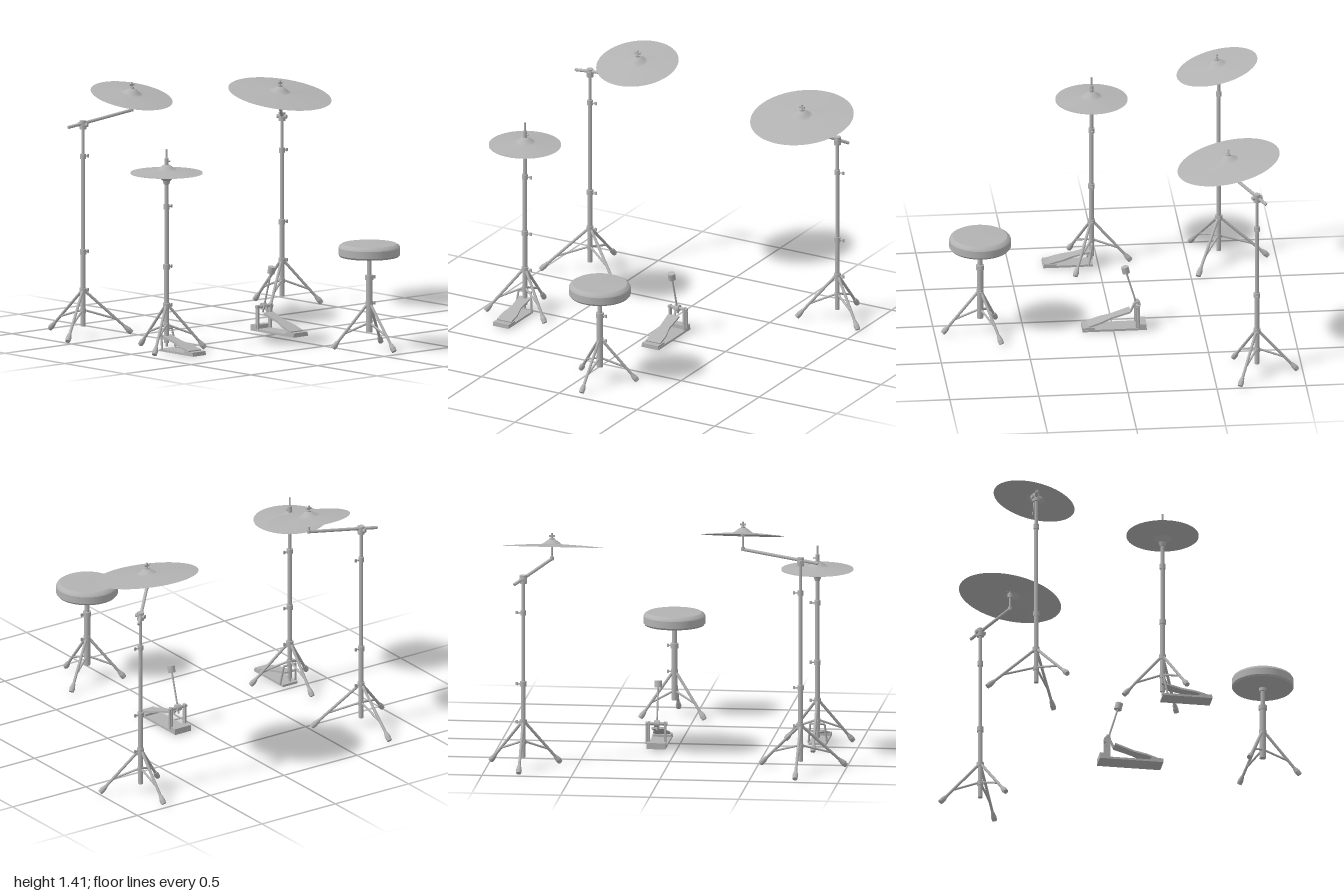
import * as THREE from 'three';

const metal = new THREE.MeshStandardMaterial({ color: 0xb2b2b2 });
metal.name = 'light grey';
const metalThin = metal.clone();
metalThin.side = THREE.DoubleSide;
const V = (x, y, z) => new THREE.Vector3(x, y, z);

function add(parent, name, geometry, x = 0, y = 0, z = 0, material = metal) {
  const m = new THREE.Mesh(geometry, material);
  m.name = name;
  m.position.set(x, y, z);
  parent.add(m);
  return m;
}

// Round bar between two points
function rod(parent, name, a, b, ra, rb = ra, sides = 14) {
  const d = b.clone().sub(a);
  const m = add(parent, name, new THREE.CylinderGeometry(rb, ra, d.length(), sides));
  m.position.copy(a).addScaledVector(d, 0.5);
  m.quaternion.setFromUnitVectors(V(0, 1, 0), d.normalize());
  return m;
}

function lathe(parent, name, points, x = 0, y = 0, z = 0, sides = 48) {
  const g = new THREE.LatheGeometry(points.map(p => new THREE.Vector2(p[0], p[1])), sides);
  return add(parent, name, g, x, y, z, metalThin);
}

// Clamp on a pole with a wing screw to the side
function collar(parent, y, r) {
  rod(parent, 'collar', V(0, y - 0.014, 0), V(0, y + 0.014, 0), r);
  rod(parent, 'screw', V(0, y, 0), V(0.034, y, 0), 0.004);
  add(parent, 'wing', new THREE.BoxGeometry(0.012, 0.018, 0.007), 0.037, y, 0);
}

// Three braced legs with rubber feet; angles measured from +z towards +x
function tripod(parent, radius, start) {
  for (let i = 0; i < 3; i++) {
    const a = start + i * Math.PI * 2 / 3;
    const at = (r, y) => V(Math.sin(a) * r, y, Math.cos(a) * r);
    const top = at(0.015, 0.255), foot = at(radius, 0.02);
    const along = t => top.clone().lerp(foot, t);
    rod(parent, 'leg', top, foot, 0.008);
    rod(parent, 'brace', at(0.012, 0.15), along(0.68), 0.006);
    rod(parent, 'foot', along(0.86), along(0.95), 0.01, 0.016);
    rod(parent, 'footTip', along(0.95), along(1.02), 0.016, 0.014);
  }
  collar(parent, 0.262, 0.02);
  rod(parent, 'braceRing', V(0, 0.135, 0), V(0, 0.16, 0), 0.017);
}

// Telescopic pole: list of [top height, radius]
function pole(parent, bottom, sections) {
  let y = bottom;
  sections.forEach(([top, r], i) => {
    rod(parent, 'pole', V(0, y, 0), V(0, top, 0), r);
    if (i < sections.length - 1) collar(parent, top, r + 0.005);
    y = top;
  });
}

// Thin bowed disc with a bell
function cymbal(parent, name, R, x, y, z, tilt = 0, flip = 1) {
  const profile = [[R, 0], [R * 0.6, 0.009], [0.06, 0.015], [0.05, 0.018],
    [0.035, 0.03], [0.02, 0.041], [0.006, 0.044]];
  const m = lathe(parent, name, profile.map(([r, h]) => [r, h * flip]), x, y, z, 64);
  m.rotation.x = tilt;
}

// Cymbal stand with an angled boom arm
function boomStand(parent, name, o) {
  const s = new THREE.Group();
  s.name = name;
  s.position.set(o.x, 0, o.z);
  parent.add(s);
  tripod(s, o.legs, Math.PI);
  pole(s, 0.06, [[0.48, 0.0135], [o.joint, 0.011], [o.top, 0.009]]);
  rod(s, 'tilterBody', V(0, o.top - 0.025, 0), V(0, o.top + 0.022, 0), 0.02);
  rod(s, 'tilterPin', V(-0.01, o.top, -0.028), V(0.01, o.top, 0.028), 0.012);
  rod(s, 'boom', o.boomBack, o.boomEnd, 0.009);
  const e = o.boomEnd;
  rod(s, 'boomElbow', V(e.x, e.y - 0.008, e.z), V(e.x, e.y + 0.012, e.z), 0.011);
  const tip = o.cymbalY + 0.078;
  rod(s, 'cymbalRod', e, V(e.x, tip, e.z), 0.005);
  rod(s, 'lowerFelt', V(e.x, o.cymbalY, e.z), V(e.x, o.cymbalY + 0.025, e.z), 0.014);
  rod(s, 'upperFelt', V(e.x, o.cymbalY + 0.038, e.z), V(e.x, o.cymbalY + 0.05, e.z), 0.013);
  add(s, 'wingNut', new THREE.BoxGeometry(0.032, 0.01, 0.008), e.x, o.cymbalY + 0.062, e.z);
  cymbal(s, 'cymbal', o.r, e.x, o.cymbalY, e.z, o.tilt);
}

// Footboard plate, waisted, lying in the xz plane with its heel at +z
function footboard(parent, length, heelY, heelZ, angle) {
  const half = [[0.046, 0], [0.046, 0.07], [0.03, 0.14], [0.036, length]];
  const s = new THREE.Shape([
    ...half.map(([x, y]) => new THREE.Vector2(x, y)),
    ...half.slice().reverse().map(([x, y]) => new THREE.Vector2(-x, y))]);
  const g = new THREE.ExtrudeGeometry(s, { depth: 0.01, bevelEnabled: false });
  g.rotateX(-Math.PI / 2);
  const m = add(parent, 'footboard', g, 0, heelY, heelZ);
  m.rotation.x = angle;
}

function hiHat(parent) {
  const s = new THREE.Group();
  s.name = 'hiHat';
  s.position.set(-0.768, 0, 0.036);
  parent.add(s);
  tripod(s, 0.215, Math.PI);
  pole(s, 0.05, [[0.48, 0.0135], [0.82, 0.0125], [0.96, 0.011]]);
  rod(s, 'cup', V(0, 0.945, 0), V(0, 0.97, 0), 0.014, 0.023);
  rod(s, 'pullRod', V(0, 0.95, 0), V(0, 1.145, 0), 0.005);
  rod(s, 'clutch', V(0, 1.045, 0), V(0, 1.095, 0), 0.012);
  rod(s, 'clutchScrew', V(0, 1.075, 0), V(0.025, 1.075, 0), 0.004);
  cymbal(s, 'topCymbal', 0.202, 0, 1.014, 0);
  cymbal(s, 'bottomCymbal', 0.202, 0, 1.008, 0, 0, -1);
  // pedal
  add(s, 'basePlate', new THREE.BoxGeometry(0.1, 0.012, 0.28), 0, 0.014, 0.135);
  add(s, 'heelPlate', new THREE.BoxGeometry(0.1, 0.012, 0.07), 0, 0.024, 0.237);
  footboard(s, 0.25, 0.026, 0.235, 0.24);
  rod(s, 'pedalLink', V(0, 0.03, 0), V(0, 0.09, 0.01), 0.007);
  for (const k of [-1, 1]) {
    rod(s, 'frameRod', V(k * 0.052, 0.015, 0.02), V(k * 0.04, 0.13, 0), 0.006);
    rod(s, 'frameTie', V(0, 0.13, 0), V(k * 0.042, 0.13, 0), 0.006);
  }
}

function bassPedal(parent) {
  const s = new THREE.Group();
  s.name = 'bassPedal';
  s.position.set(0.115, 0, 0);
  parent.add(s);
  add(s, 'basePlate', new THREE.BoxGeometry(0.108, 0.012, 0.36), 0, 0.014, -0.005);
  add(s, 'hoopClamp', new THREE.BoxGeometry(0.108, 0.025, 0.045), 0, 0.03, -0.162);
  add(s, 'heelPlate', new THREE.BoxGeometry(0.104, 0.014, 0.07), 0, 0.025, 0.14);
  footboard(s, 0.25, 0.028, 0.14, 0.32);
  for (const k of [-1, 1])
    add(s, 'post', new THREE.BoxGeometry(0.012, 0.135, 0.022), k * 0.046, 0.088, -0.135);
  rod(s, 'axle', V(-0.058, 0.145, -0.135), V(0.064, 0.145, -0.135), 0.009);
  rod(s, 'cam', V(-0.014, 0.145, -0.135), V(0.014, 0.145, -0.135), 0.02);
  rod(s, 'chain', V(0, 0.145, -0.118), V(0, 0.1, -0.098), 0.007);
  rod(s, 'beaterShaft', V(0, 0.11, -0.143), V(0, 0.35, -0.072), 0.005);
  rod(s, 'beater', V(0, 0.338, -0.075), V(0, 0.376, -0.066), 0.021, 0.021, 20);
  rod(s, 'spring', V(0.058, 0.03, -0.14), V(0.058, 0.145, -0.135), 0.007);
}

function throne(parent) {
  const s = new THREE.Group();
  s.name = 'throne';
  s.position.set(0.117, 0, 0.746);
  parent.add(s);
  tripod(s, 0.205, 0);
  pole(s, 0.1, [[0.41, 0.018], [0.535, 0.013]]);
  rod(s, 'seatMount', V(0, 0.51, 0), V(0, 0.535, 0), 0.022);
  // separate bands keep the seat edges crisp
  const bands = [['seatBottom', [[0, 0.53], [0.165, 0.53]]],
    ['seatLowerEdge', [[0.165, 0.53], [0.173, 0.54]]],
    ['seatSide', [[0.173, 0.54], [0.173, 0.58]]],
    ['seatBevel', [[0.173, 0.58], [0.167, 0.592], [0.152, 0.601]]],
    ['seatTop', [[0.152, 0.601], [0, 0.603]]]];
  for (const [name, pts] of bands) lathe(s, name, pts);
}

export function createModel() {
  const model = new THREE.Group();
  model.name = 'drumHardware';
  boomStand(model, 'rightBoomStand', {
    x: -0.755, z: -0.677, legs: 0.272, joint: 1.02, top: 1.2,
    boomBack: V(-0.1, 1.193, -0.012), boomEnd: V(0.328, 1.253, 0.041),
    cymbalY: 1.333, r: 0.232, tilt: 0.23 });
  boomStand(model, 'leftBoomStand', {
    x: 0.797, z: -0.743, legs: 0.222, joint: 0.885, top: 1.077,
    boomBack: V(0.046, 1.053, -0.048), boomEnd: V(-0.145, 1.167, 0.145),
    cymbalY: 1.235, r: 0.291, tilt: 0.197 });
  hiHat(model);
  bassPedal(model);
  throne(model);
  return model;
}
